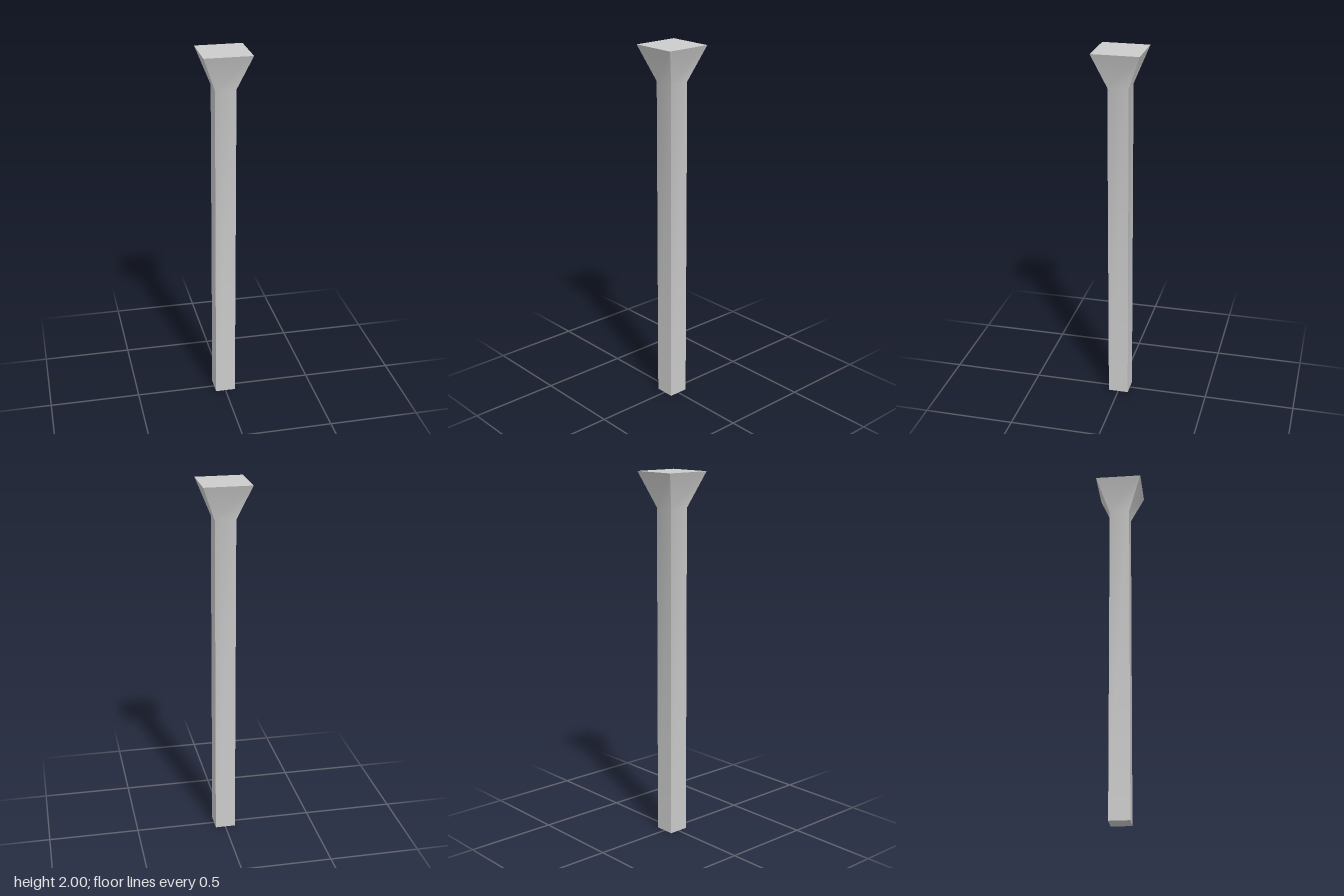
import * as THREE from 'three';
import { toCreasedNormals } from 'three/addons/utils/BufferGeometryUtils.js';

const HEIGHT = 2;
const NECK_Y = 1.81; // where the shaft starts to flare
const SHAFT_HALF = 0.056;
const TOP_HALF = 0.128;

export function createModel() {
  const group = new THREE.Group();
  group.name = 'post';

  // Square post: a box with one extra ring, moved up to the neck, and a widened top
  const box = new THREE.BoxGeometry(2, 2, 2, 1, 2, 1);
  const pos = box.attributes.position;
  for (let i = 0; i < pos.count; i++) {
    const row = Math.round(pos.getY(i)); // -1 base, 0 neck, 1 top
    const half = row === 1 ? TOP_HALF : SHAFT_HALF;
    const y = [0, NECK_Y, HEIGHT][row + 1];
    pos.setXYZ(i, pos.getX(i) * half, y, pos.getZ(i) * half);
  }

  // Smooth across the neck, sharp along the corners and rims
  const geometry = toCreasedNormals(box, Math.PI / 5);
  const post = new THREE.Mesh(geometry, new THREE.MeshStandardMaterial({ color: 0xcccccc }));
  post.name = 'flaredPost';
  group.add(post);

  return group;
}
